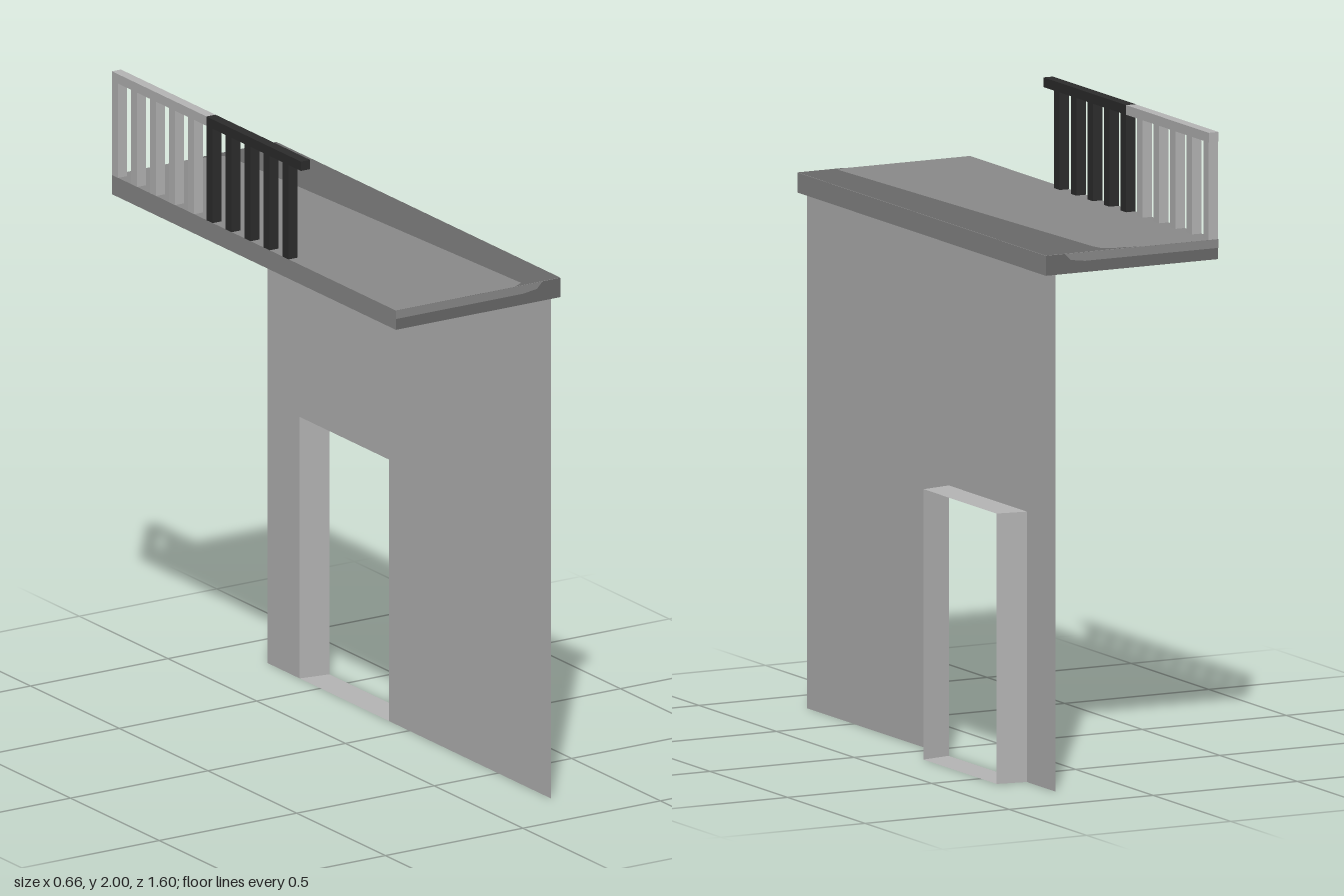
import * as THREE from 'three';

const flat = (name, color) => {
  const m = new THREE.MeshStandardMaterial({ color });
  m.name = name;
  return m;
};

export function createModel() {
  const pale = flat('paleGrey', 0xb6b6b6);
  pale.side = THREE.DoubleSide; // wall and door surround are thin sheets
  const mid = flat('midGrey', 0x8b8b8b);
  const dark = flat('darkGrey', 0x6a6a6a);
  const black = flat('charcoal', 0x2d2d2d);

  const group = new THREE.Group();
  const add = (name, geometry, material, x = 0, y = 0, z = 0) => {
    const mesh = new THREE.Mesh(geometry, material);
    mesh.name = name;
    mesh.position.set(x, y, z);
    group.add(mesh);
    return mesh;
  };
  const outline = (pts) => new THREE.Shape(pts.map(([a, b]) => new THREE.Vector2(a, b)));

  // Wall sheet with a doorway; shape x runs along -z
  const wallX = 0.232, wallTop = 1.605, doorTop = 0.84;
  const wall = outline([
    [-0.8, 0], [0.113, 0], [0.113, doorTop], [0.617, doorTop],
    [0.617, 0], [0.8, 0], [0.8, wallTop], [-0.8, wallTop],
  ]);
  add('wall', new THREE.ShapeGeometry(wall).rotateY(Math.PI / 2), pale, wallX);

  // Door surround: a four-sided sleeve that narrows outward
  const ring = (x, z0, z1) => [[x, 0, z0], [x, doorTop, z0], [x, doorTop, z1], [x, 0, z1]];
  const inner = ring(wallX, -0.113, -0.617);
  const outer = ring(0.33, -0.133, -0.602);
  const corners = [];
  for (let i = 0; i < 4; i++) {
    const j = (i + 1) % 4;
    for (const p of [inner[i], outer[i], outer[j], inner[i], outer[j], inner[j]]) corners.push(...p);
  }
  const sleeve = new THREE.BufferGeometry();
  sleeve.setAttribute('position', new THREE.Float32BufferAttribute(corners, 3));
  sleeve.computeVertexNormals();
  add('doorSurround', sleeve, pale);

  // Balcony slab, darker on its top margin, ends and underside
  const x0 = -0.333, x1 = 0.265, top = 1.667;
  add('slab', new THREE.BoxGeometry(x1 - x0, top - wallTop, 1.6),
    [mid, mid, mid, dark, dark, dark], (x0 + x1) / 2, (top + wallTop) / 2, 0);

  // Worn dark margin on the top; shape y is -z
  const margin = outline([
    [x1, 0.8], [-0.05, 0.8], [-0.03, 0.79], [0.03, 0.785], [0.055, 0.77], [0.065, 0.73],
    [0.1, 0], [0.136, -0.78], [0.1, -0.8], [x1, -0.8],
  ]);
  add('slabTopMargin', new THREE.ShapeGeometry(margin).rotateX(-Math.PI / 2), dark, 0, top + 0.001, 0);

  // Lighter band along the upper half of both ends
  const band = [[x0, 1.64], [0.13, 1.64], [0.18, 1.647], [0.2, top], [x0, top]];
  add('slabFrontBand', new THREE.ShapeGeometry(outline(band)), mid, 0, 0, 0.801);
  const backBand = outline(band.map(([x, y]) => [-x, y]));
  add('slabBackBand', new THREE.ShapeGeometry(backBand).rotateY(Math.PI), mid, 0, 0, -0.801);

  // Railing: two equal sections, each a handrail on five balusters
  const railX = -0.317, railW = 0.033, railH = 0.03;
  [['back', pale, -0.8], ['front', black, -0.267]].forEach(([side, material, start]) => {
    add(side + 'Handrail', new THREE.BoxGeometry(railW, railH, 0.533), material,
      railX, 2 - railH / 2, start + 0.2665);
    for (let i = 0; i < 5; i++) {
      const h = 2 - railH - top;
      add(side + 'Baluster', new THREE.BoxGeometry(railW, h, 0.035), material,
        railX, top + h / 2, start + 0.018 + i * 0.107);
    }
  });

  return group;
}
